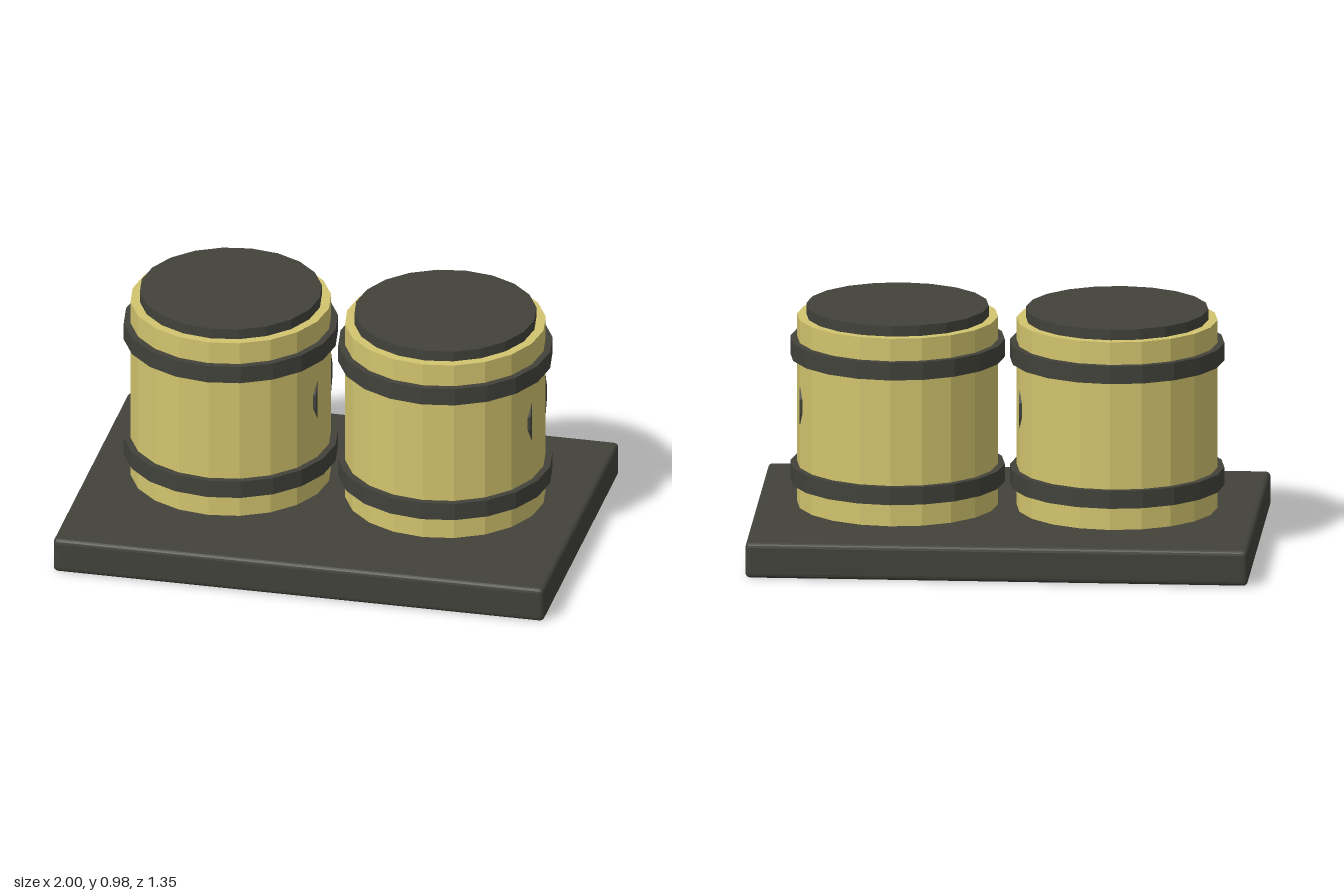
import * as THREE from 'three';
import { RoundedBoxGeometry } from 'three/addons/geometries/RoundedBoxGeometry.js';

export function createModel() {
  const model = new THREE.Group();
  const yellow = new THREE.MeshStandardMaterial({ color: 0xd2c46e, flatShading: true });
  yellow.name = 'dull yellow';
  const dark = new THREE.MeshStandardMaterial({ color: 0x42423b, flatShading: true });
  dark.name = 'charcoal';

  const add = (parent, name, geometry, material, x = 0, y = 0, z = 0) => {
    const mesh = new THREE.Mesh(geometry, material);
    mesh.name = name;
    mesh.position.set(x, y, z);
    parent.add(mesh);
    return mesh;
  };

  // Upright 20-sided drum section between two heights
  const drum = (parent, name, radius, y0, y1, material) =>
    add(parent, name, new THREE.CylinderGeometry(radius, radius, y1 - y0, 20), material, 0, (y0 + y1) / 2, 0);

  // Base slab with softened edges
  add(model, 'base', new RoundedBoxGeometry(2, 0.145, 1.345, 2, 0.02), dark, 0, 0.0725, 0);

  // Two matching barrels
  for (const [name, x] of [['rightBarrel', -0.437], ['leftBarrel', 0.437]]) {
    const barrel = new THREE.Group();
    barrel.name = name;
    barrel.position.set(x, 0, -0.037);
    model.add(barrel);

    drum(barrel, 'body', 0.4, 0.165, 0.932, yellow);
    drum(barrel, 'lid', 0.363, 0.925, 0.975, dark);
    drum(barrel, 'lowerBand', 0.427, 0.258, 0.33, dark);
    drum(barrel, 'upperBand', 0.427, 0.768, 0.84, dark);

    // Round side plug, mostly sunk in the wall so only its edges break through
    const plug = new THREE.CylinderGeometry(0.149, 0.149, 0.06, 16);
    plug.rotateY(Math.PI / 16).rotateZ(-Math.PI / 2);
    add(barrel, 'sidePlug', plug, dark, 0.3505, 0.585, 0);
  }
  return model;
}
